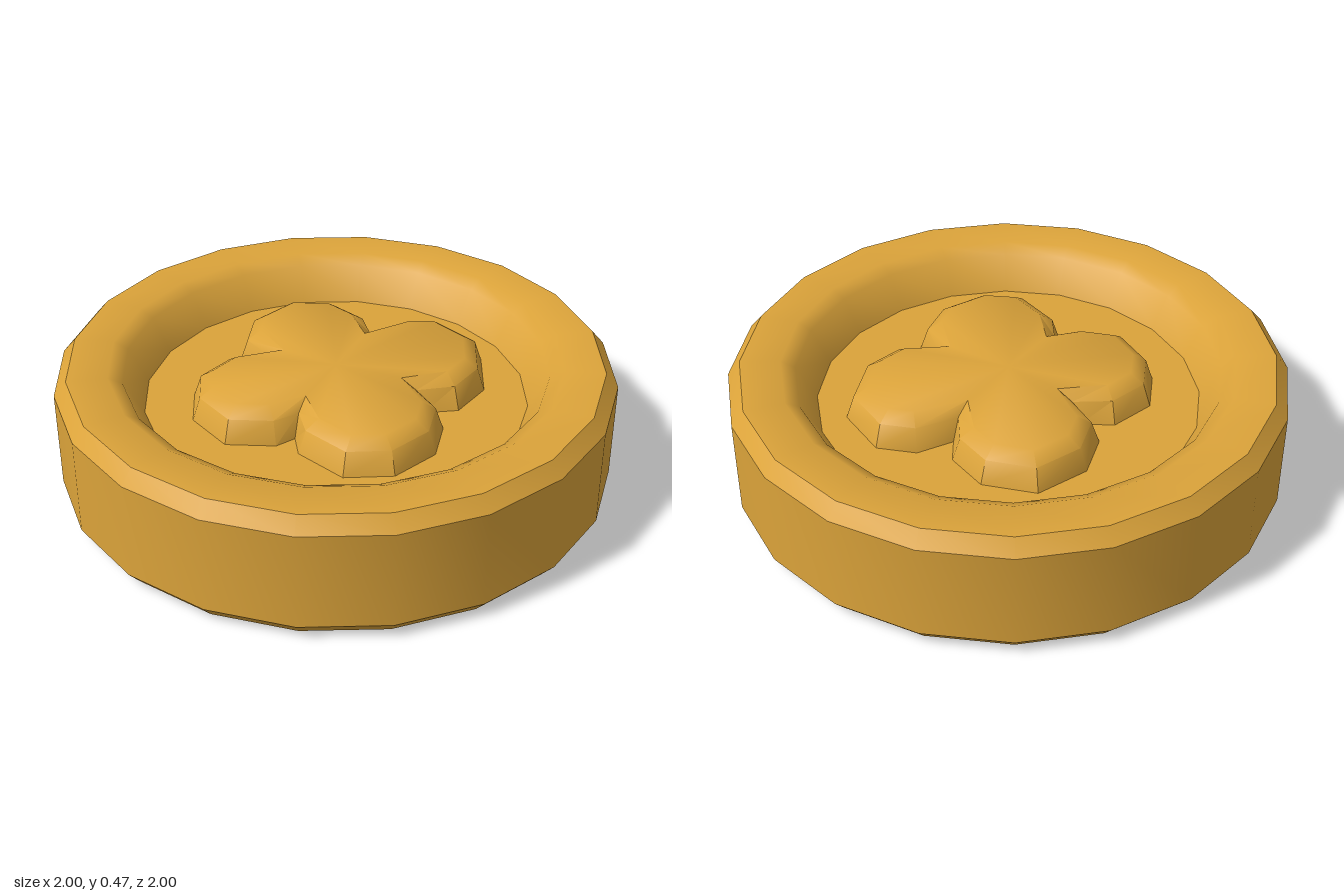
import * as THREE from 'three';
import { toCreasedNormals } from 'three/addons/utils/BufferGeometryUtils.js';

const HEIGHT = 0.465;
const FLOOR = 0.31;
const CREASE = 0.65;

// Clover outline in (x, z), clockwise seen from above; every sixth point is a notch
const CLOVER = [
  [-0.02, -0.34], [0.04, -0.465], [0.17, -0.53], [0.37, -0.46], [0.465, -0.27], [0.44, -0.10],
  [0.34, -0.03], [0.44, 0.03], [0.485, 0.19], [0.42, 0.37], [0.27, 0.46], [0.07, 0.405],
  [0.015, 0.33], [-0.02, 0.40], [-0.18, 0.475], [-0.36, 0.395], [-0.445, 0.25], [-0.41, 0.08],
  [-0.31, 0.01], [-0.42, -0.03], [-0.48, -0.19], [-0.42, -0.385], [-0.24, -0.465], [-0.08, -0.42],
].map(([x, z]) => new THREE.Vector2(x, z));

// Move every corner inward along its mitre, limited at the sharp notches
function inset(points, d) {
  const n = points.length;
  const inward = (a, b) => new THREE.Vector2(a.y - b.y, b.x - a.x).normalize();
  return points.map((p, i) => {
    const n1 = inward(points[(i + n - 1) % n], p);
    const n2 = inward(p, points[(i + 1) % n]);
    const mitre = n1.clone().add(n2).normalize();
    return p.clone().addScaledVector(mitre, d * Math.min(1.25, 1 / mitre.dot(n1)));
  });
}

// Raised clover: sloped wall, soft bevel and flat cap; side is 1 for top, -1 for bottom
function cloverGeometry(side) {
  const levels = [[0, FLOOR], [0.027, 0.395], [0.075, 0.43]];
  const n = CLOVER.length;
  const positions = [];
  const index = [];
  const face = (a, b, c) => index.push(...(side > 0 ? [a, b, c] : [a, c, b]));
  const height = (y) => (side > 0 ? y : HEIGHT - y);
  for (const [d, y] of levels) {
    for (const p of inset(CLOVER, d)) positions.push(p.x, height(y), p.y);
  }
  positions.push(0, height(0.43), 0);
  for (let i = 0; i < n; i++) {
    const j = (i + 1) % n;
    for (let k = 0; k < levels.length - 1; k++) {
      const lo = k * n, hi = lo + n;
      face(lo + i, hi + i, lo + j);
      face(lo + j, hi + i, hi + j);
    }
    const top = (levels.length - 1) * n;
    face(top + i, top + n, top + j);
  }
  const geometry = new THREE.BufferGeometry();
  geometry.setAttribute('position', new THREE.Float32BufferAttribute(positions, 3));
  geometry.setIndex(index);
  return toCreasedNormals(geometry, CREASE);
}

export function createModel() {
  const group = new THREE.Group();
  group.name = 'coin';
  const gold = new THREE.MeshStandardMaterial({ color: 0xdba33a });
  gold.name = 'gold';

  // Coin body: half profile from the floor out to the edge, mirrored top to bottom
  const half = [[0.2, FLOOR], [0.69, FLOOR], [0.76, 0.437], [0.81, HEIGHT], [0.955, HEIGHT], [1, 0.412]];
  const profile = [
    ...half.map(([r, y]) => new THREE.Vector2(r, HEIGHT - y)),
    ...half.slice().reverse().map(([r, y]) => new THREE.Vector2(r, y)),
  ];
  const bodyGeometry = new THREE.LatheGeometry(profile, 20, 0.047);
  const body = new THREE.Mesh(toCreasedNormals(bodyGeometry, CREASE), gold);
  body.name = 'coinBody';
  group.add(body);

  // Clover relief on both faces
  for (const [name, side] of [['topClover', 1], ['bottomClover', -1]]) {
    const clover = new THREE.Mesh(cloverGeometry(side), gold);
    clover.name = name;
    group.add(clover);
  }
  return group;
}
